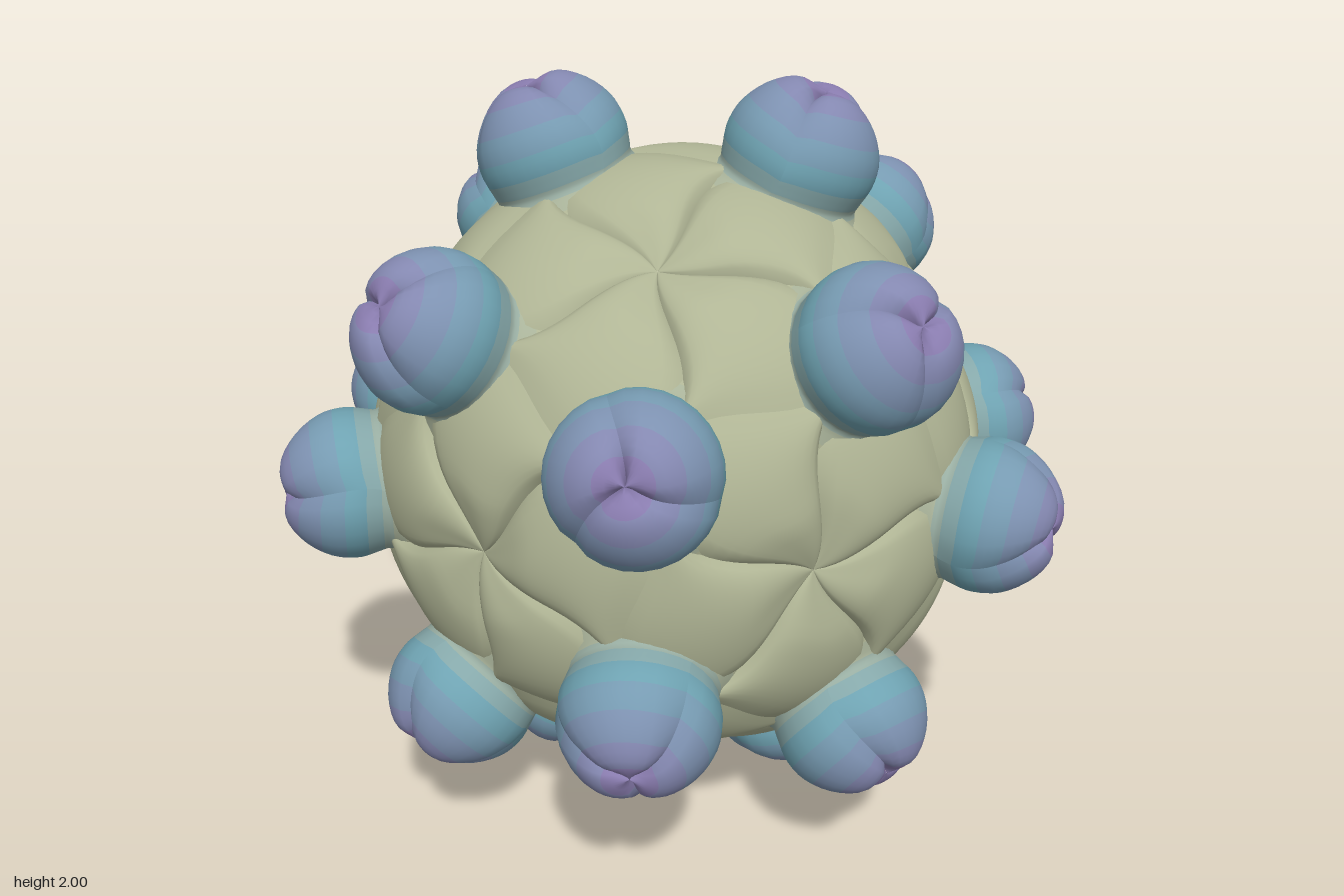
import * as THREE from 'three';
import { mergeGeometries } from 'three/addons/utils/BufferGeometryUtils.js';

const PHI = (1 + Math.sqrt(5)) / 2;
const V = (x, y, z) => new THREE.Vector3(x, y, z);

// Icosahedral axes: 12 fivefold (shell centres) and 20 threefold (knobs)
const fiveFold = [], threeFold = [];
for (const a of [-1, 1]) for (const b of [-1, 1]) {
  fiveFold.push(V(a, 0, b * PHI), V(0, a * PHI, b), V(a * PHI, b, 0));
  threeFold.push(V(a / PHI, b * PHI, 0), V(0, a / PHI, b * PHI), V(a * PHI, 0, b / PHI));
  for (const c of [-1, 1]) threeFold.push(V(a, b, c));
}
[...fiveFold, ...threeFold].forEach((v) => v.normalize());

// Neighbours of an axis, sorted counter-clockwise as seen from outside
function ring(axis, others) {
  const near = others.filter((o) => o.dot(axis) > 0.7);
  const e1 = near[0].clone().addScaledVector(axis, -near[0].dot(axis)).normalize();
  const e2 = axis.clone().cross(e1);
  const angle = (p) => Math.atan2(p.dot(e2), p.dot(e1));
  return { near: near.sort((p, q) => angle(p) - angle(q)), e1, e2 };
}

// Smooth patch from a rule point(u, v); v runs outward from the patch centre
function patch(nu, nv, point) {
  const pos = [], idx = [];
  for (let j = 0; j <= nv; j++) for (let i = 0; i <= nu; i++) {
    pos.push(...point(i / nu, Math.max(j / nv, 0.002)).toArray());
    if (i < nu && j < nv) {
      const a = j * (nu + 1) + i, c = a + nu + 1;
      idx.push(a, c, a + 1, a + 1, c, c + 1);
    }
  }
  const g = new THREE.BufferGeometry();
  g.setAttribute('position', new THREE.Float32BufferAttribute(pos, 3));
  g.setIndex(idx);
  g.computeVertexNormals();
  return g;
}

// Pillowed shell tile: one fifth of a pentagon, with swirled side seams
function shellTile(axis, t0, t1) {
  const edge = t1.clone().sub(t0).normalize();
  const inward = axis.clone().addScaledVector(edge, -axis.dot(edge));
  const mid = t0.clone().add(t1).normalize();
  inward.addScaledVector(mid, -inward.dot(mid)).normalize();
  return patch(16, 16, (u, v) => {
    const rim = t0.clone().lerp(t1, u).addScaledVector(inward, 0.05 * Math.sin(2 * Math.PI * u)).normalize();
    const p = axis.clone().lerp(rim, v).normalize();
    p.applyAxisAngle(axis, 0.3 * Math.sin(Math.PI * v));
    const pillow = Math.sqrt(4 * u * (1 - u)) * Math.min(1, 2.5 * v) * (1 - v ** 6);
    return p.multiplyScalar(0.735 + 0.065 * v + 0.035 * pillow);
  });
}

// Knob outline: (distance from axis, height along axis), crown to flared neck
const profile = new THREE.SplineCurve([
  [0, 1.03], [0.075, 1.04], [0.14, 1.0], [0.185, 0.935], [0.197, 0.87],
  [0.187, 0.815], [0.183, 0.785], [0.21, 0.755], [0.26, 0.71],
].map(([x, y]) => new THREE.Vector2(x, y)));

const NU = 10, NV = 27, BANDS = 9;

// One of the three lobes of a knob, with grooves along its sides
function knobLobe(axis, e1, e2, k) {
  return patch(NU, NV, (u, v) => {
    const q = profile.getPoint(v);
    const groove = (1 - Math.sqrt(4 * u * (1 - u))) * Math.max(0, 1 - v * 1.25);
    const a = (k + u) * 2 * Math.PI / 3 + 0.35 * Math.sin(Math.PI * v);
    const rho = q.x * (1 - 0.12 * groove);
    return axis.clone().multiplyScalar(q.y - 0.035 * groove)
      .addScaledVector(e1, rho * Math.cos(a)).addScaledVector(e2, rho * Math.sin(a));
  });
}

// Keep one band of rows, so each band can carry its own colour
function band(geometry, b) {
  const g = geometry.clone();
  const size = (NV / BANDS) * NU * 6;
  g.setIndex(Array.from(geometry.index.array.slice(b * size, (b + 1) * size)));
  return g;
}

export function createModel() {
  const model = new THREE.Group();
  const add = (name, geometries, color) => {
    const material = new THREE.MeshStandardMaterial({ color });
    const mesh = new THREE.Mesh(mergeGeometries(geometries), material);
    mesh.name = name;
    mesh.position.y = 1;
    model.add(mesh);
  };

  // Shell of 60 tiles
  const tiles = [];
  for (const axis of fiveFold) {
    const { near } = ring(axis, threeFold);
    near.forEach((t, i) => tiles.push(shellTile(axis, t, near[(i + 1) % 5])));
  }
  add('shell', tiles, 0xb0b595);

  // Twenty knobs of three lobes, shaded from purple crown to sage neck
  const lobes = [];
  for (const axis of threeFold) {
    const { e1, e2 } = ring(axis, fiveFold);
    for (let k = 0; k < 3; k++) lobes.push(knobLobe(axis, e1, e2, k));
  }
  const crown = new THREE.Color(0x8a7db0), middle = new THREE.Color(0x6fa3b2), neck = new THREE.Color(0xb0b595);
  for (let b = 0; b < BANDS; b++) {
    const f = b / (BANDS - 1);
    const color = f < 0.5 ? crown.clone().lerp(middle, f * 2) : middle.clone().lerp(neck, Math.min(1, (f - 0.5) * 2.3));
    add('knobBand' + (b + 1), lobes.map((g) => band(g, b)), color);
  }
  return model;
}
